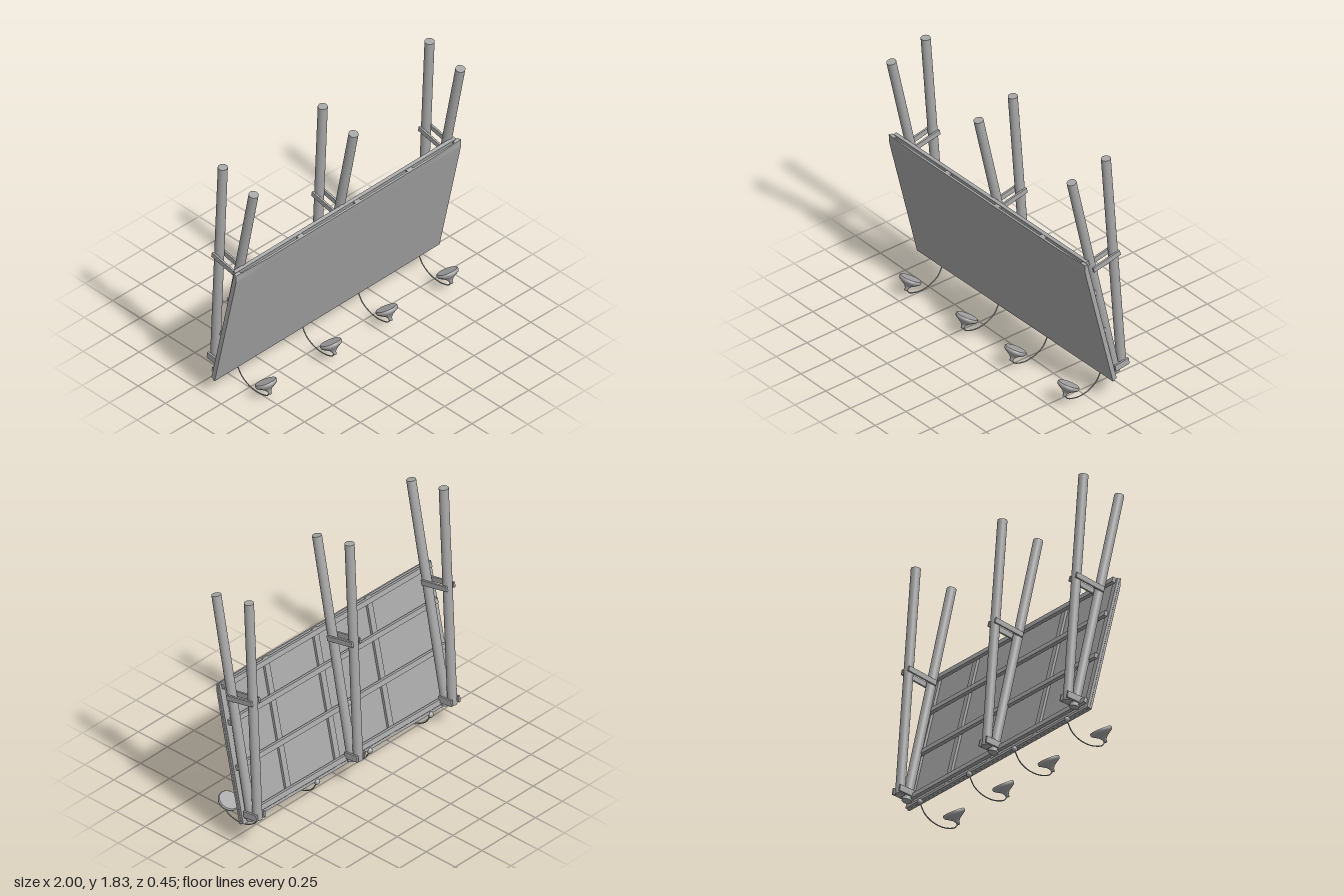
import * as THREE from 'three';

const V = (x, y, z) => new THREE.Vector3(x, y, z);

export function createModel() {
  const grey = new THREE.MeshStandardMaterial({ color: 0xa8a8a8 });
  grey.name = 'grey';

  const add = (parent, name, geometry, x = 0, y = 0, z = 0) => {
    const mesh = new THREE.Mesh(geometry, grey);
    mesh.name = name;
    mesh.position.set(x, y, z);
    parent.add(mesh);
    return mesh;
  };
  // Round post between two points
  const post = (parent, name, a, b, r) => {
    const mesh = add(parent, name, new THREE.CylinderGeometry(r, r, a.distanceTo(b), 24));
    mesh.position.copy(a).add(b).multiplyScalar(0.5);
    mesh.quaternion.setFromUnitVectors(V(0, 1, 0), b.clone().sub(a).normalize());
  };

  const model = new THREE.Group();
  model.name = 'billboard';
  // The whole structure leans slightly sideways about the panel centre
  const lean = new THREE.Group();
  lean.name = 'leaningStructure';
  lean.position.y = 0.63;
  lean.rotation.z = 0.019;
  model.add(lean);
  const body = new THREE.Group();
  body.name = 'structure';
  body.position.y = -0.63;
  lean.add(body);

  // Tilted display panel
  const panel = new THREE.Group();
  panel.name = 'panel';
  panel.position.set(0, 0.63, 0.032);
  panel.rotation.x = 0.23;
  body.add(panel);

  // Front sheet, its top corners curling back a little
  const sheet = new THREE.BoxGeometry(1.98, 0.99, 0.016, 40, 20, 1).toNonIndexed();
  const p = sheet.attributes.position;
  for (let i = 0; i < p.count; i++) {
    if (p.getZ(i) < 0) continue;
    const top = Math.max(0, (p.getY(i) - 0.42) / 0.075);
    const side = Math.max(0, (Math.abs(p.getX(i)) - 0.72) / 0.27);
    p.setZ(i, p.getZ(i) - 0.011 * Math.min(1, top * top) * (0.15 + 0.85 * side));
  }
  sheet.computeVertexNormals();
  add(panel, 'displaySheet', sheet, 0, 0, -0.008);

  // Vertical battens behind the sheet, then horizontal stringers
  for (const x of [-0.965, -0.41, 0.09, 0.55, 0.965])
    add(panel, 'batten', new THREE.BoxGeometry(0.045, 0.98, 0.018), x, 0, -0.025);
  for (const y of [0.475, 0.22, -0.1, -0.44])
    add(panel, 'stringer', new THREE.BoxGeometry(1.94, 0.036, 0.024), 0, y, -0.046);
  add(panel, 'bottomRail', new THREE.BoxGeometry(1.96, 0.02, 0.018), 0, -0.484, -0.025);

  // Three post pairs, each clamped by braces on both sides
  for (const x of [-0.88, 0, 0.94]) {
    const frame = new THREE.Group();
    frame.name = 'postPair';
    frame.position.x = x;
    body.add(frame);
    post(frame, 'frontPost', V(0, 0.185, -0.138), V(0, 1.745, 0.192), 0.032);
    post(frame, 'rearPost', V(0, 0.215, -0.19), V(0, 1.81, -0.088), 0.032);
    for (const s of [-1, 1]) {
      const upper = add(frame, 'upperBrace', new THREE.BoxGeometry(0.014, 0.036, 0.22), s * 0.036, 1.065, -0.053);
      upper.rotation.x = 0.21;
      const lower = add(frame, 'lowerBrace', new THREE.BoxGeometry(0.014, 0.045, 0.112), s * 0.036, 0.237, -0.164);
      lower.rotation.x = 0.14;
    }
  }

  // Floodlights on curved arms, facing up toward the panel
  const shade = new THREE.LatheGeometry([
    [0, -0.088], [0.011, -0.088], [0.013, -0.07], [0.026, -0.052], [0.05, -0.036],
    [0.07, -0.023], [0.074, -0.012], [0.073, -0.003], [0.069, 0], [0.069, 0], [0, 0],
  ].map(([r, y]) => new THREE.Vector2(r, y)), 32);
  const arm = new THREE.TubeGeometry(new THREE.CatmullRomCurve3([
    V(0, 0.075, 0.185), V(0, 0.045, 0.165), V(0, 0.026, 0.115), V(0, 0.021, 0.06),
    V(0, 0.036, -0.01), V(0, 0.075, -0.07), V(0, 0.135, -0.107),
  ]), 40, 0.004, 8);
  for (const x of [-0.765, -0.195, 0.297, 0.832]) {
    const lamp = new THREE.Group();
    lamp.name = 'lamp';
    lamp.position.x = x;
    body.add(lamp);
    add(lamp, 'lampShade', shade, 0, 0.149, 0.15).rotation.x = -0.5;
    add(lamp, 'lampArm', arm);
    add(lamp, 'armMount', new THREE.SphereGeometry(0.02, 16, 12), 0, 0.15, -0.11);
  }
  return model;
}
